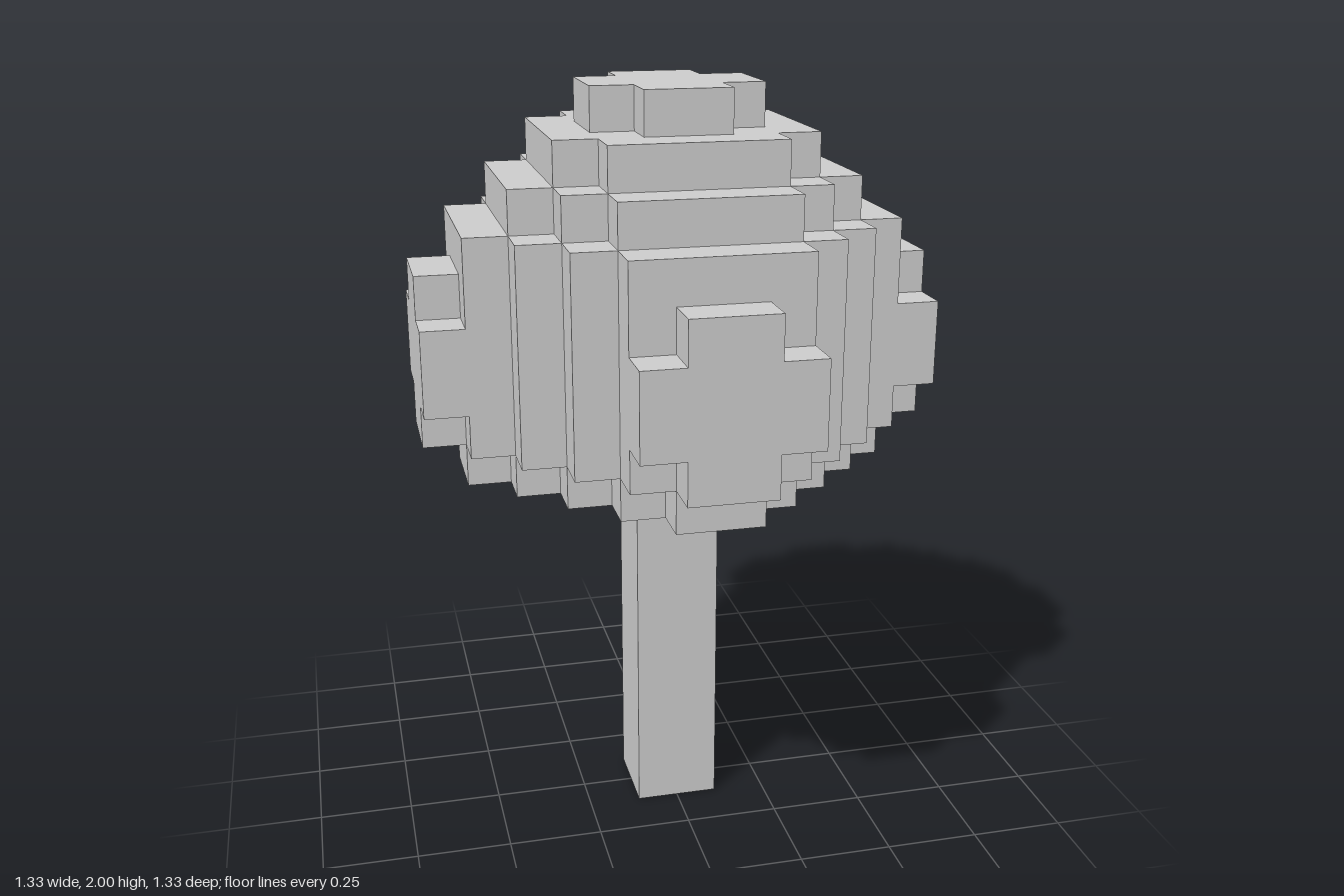
import * as THREE from 'three';

const U = 1 / 9; // size of one block
const material = new THREE.MeshStandardMaterial({ color: 0xcccccc, flatShading: true });

// Extrude a four-way stepped outline; corners are the outer steps of one quadrant,
// from the +x side to the +y side, in blocks.
function steppedSlab(corners, thickness) {
  const points = [];
  for (let q = 0; q < 4; q++) {
    const turn = ([x, y]) => {
      for (let i = 0; i < q; i++) [x, y] = [-y, x];
      return new THREE.Vector2(x * U, y * U);
    };
    corners.forEach((c, i) => {
      if (i > 0) points.push(turn([c[0], corners[i - 1][1]])); // inner corner of the step
      points.push(turn(c));
    });
  }
  return new THREE.ExtrudeGeometry(new THREE.Shape(points), {
    depth: thickness * U, bevelEnabled: false,
  });
}

function addMesh(parent, name, geometry) {
  const mesh = new THREE.Mesh(geometry, material);
  mesh.name = name;
  parent.add(mesh);
  return mesh;
}

export function createModel() {
  const tree = new THREE.Group();
  tree.name = 'blockTree';

  // Trunk
  addMesh(tree, 'trunk', new THREE.BoxGeometry(2 * U, 9 * U, 2 * U).translate(0, 4.5 * U, 0));

  // Crown layers, bottom to top
  const crown = new THREE.Group();
  crown.name = 'crown';
  tree.add(crown);
  const cross = [[2, 1], [1, 2]];
  const layers = [
    { name: 'crownBase', y: 9, height: 1, corners: [[5, 1], [4, 2], [3, 3], [2, 4], [1, 5]] },
    { name: 'crownBody', y: 10, height: 5, corners: [[5, 2], [4, 3], [3, 4], [2, 5]] },
    { name: 'crownShoulder', y: 15, height: 1, corners: [[4, 2], [3, 3], [2, 4]] },
    { name: 'crownUpper', y: 16, height: 1, corners: [[3, 2], [2, 3]] },
    { name: 'crownTop', y: 17, height: 1, corners: cross },
  ];
  for (const { name, y, height, corners } of layers) {
    const geometry = steppedSlab(corners, height).rotateX(-Math.PI / 2).translate(0, y * U, 0);
    addMesh(crown, name, geometry);
  }

  // Cross-shaped bumps on the four sides
  ['front', 'left', 'back', 'right'].forEach((side, i) => {
    const geometry = steppedSlab(cross, 1).translate(0, 12 * U, 5 * U).rotateY(i * Math.PI / 2);
    addMesh(crown, side + 'Bump', geometry);
  });

  return tree;
}
